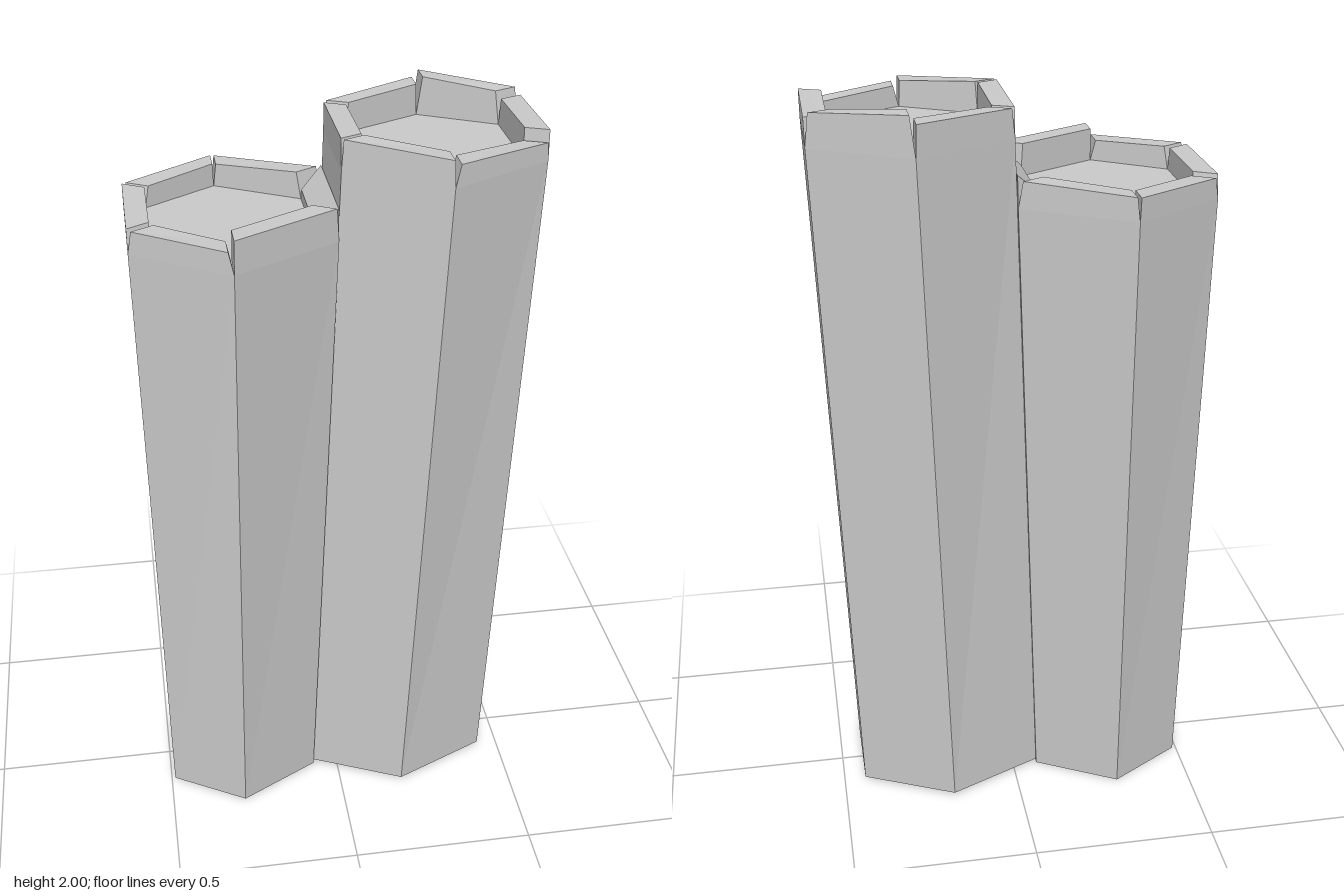
import * as THREE from 'three';

// Corners run counter-clockwise seen from above: front, front right, back right, back, back left, front left
const ring = (xs, zs, y) => [
  [xs[1], zs[1]], [xs[2], zs[0]], [xs[2], -zs[0]],
  [xs[3] ?? xs[1], -zs[1]], [xs[0], -zs[0]], [xs[0], zs[0]],
].map(([x, z]) => new THREE.Vector3(x, y, z));

// Mesh from flat convex faces, each fanned into triangles
function facetMesh(name, faces) {
  const pos = [];
  for (const f of faces) {
    for (let i = 1; i < f.length - 1; i++) {
      for (const p of [f[0], f[i], f[i + 1]]) pos.push(p.x, p.y, p.z);
    }
  }
  const geo = new THREE.BufferGeometry();
  geo.setAttribute('position', new THREE.Float32BufferAttribute(pos, 3));
  geo.computeVertexNormals();
  const mesh = new THREE.Mesh(geo, new THREE.MeshStandardMaterial({
    color: 0xcccccc, flatShading: true, side: THREE.DoubleSide,
  }));
  mesh.name = name;
  return mesh;
}

// Point a short way along an edge, lifted to a height
function along(a, b, d, y) {
  const p = b.clone().sub(a).setLength(d).add(a);
  p.y = y;
  return p;
}

// Hexagonal column, open below, with a sunken top and a rim notched at the corners.
// rim: per side [height at start, height at end, notch at start, notch at end, inner drop]
function column(name, { base, outer, inner, rim }) {
  const walls = [], rimFaces = [];
  for (let i = 0; i < 6; i++) {
    const j = (i + 1) % 6;
    const [h0, h1, n0, n1, drop = 0] = rim[i];
    const o0 = along(outer[i], outer[j], n0, h0);
    const o1 = along(outer[j], outer[i], n1, h1);
    const i0 = along(inner[i], inner[j], n0, h0 - drop);
    const i1 = along(inner[j], inner[i], n1, h1 - drop);
    walls.push([base[i], base[j], outer[j], outer[i]]);
    rimFaces.push(
      [outer[i], outer[j], o1, o0],   // outside
      [o0, o1, i1, i0],               // top
      [inner[j], inner[i], i0, i1],   // inside
      [outer[i], o0, i0, inner[i]],   // start of the side
      [outer[j], inner[j], i1, o1],   // end of the side
    );
  }
  const group = new THREE.Group();
  group.name = name;
  group.add(
    facetMesh('columnWalls', walls),
    facetMesh('notchedRim', rimFaces),
    facetMesh('sunkenTop', [inner]),
  );
  return group;
}

export function createModel() {
  const model = new THREE.Group();
  model.name = 'stoneColumns';
  model.add(
    column('shortColumn', {
      base: ring([-0.49, -0.29, -0.07], [0.115, 0.233], 0),
      outer: ring([-0.507, -0.27, -0.003], [0.155, 0.308], 1.73),
      inner: ring([-0.452, -0.27, -0.058], [0.123, 0.245], 1.73),
      rim: [
        [1.815, 1.815, 0.002, 0.006],
        [1.81, 1.81, 0.006, 0.012, 0.05],
        [1.8, 1.79, 0.012, 0.008],
        [1.79, 1.785, 0.002, 0.012],
        [1.79, 1.79, 0.012, 0.012],
        [1.79, 1.785, 0.012, 0.014],
      ],
    }),
    column('tallColumn', {
      base: ring([-0.07, 0.18, 0.44, 0.19], [0.11, 0.225], 0.01),
      outer: ring([0.003, 0.245, 0.503, 0.257], [0.144, 0.285], 1.9),
      inner: ring([0.055, 0.245, 0.447, 0.257], [0.12, 0.225], 1.9),
      rim: [
        [1.955, 1.945, 0.016, 0.004],
        [1.975, 1.97, 0.004, 0.012],
        [1.985, 2.0, 0.012, 0.014],
        [1.98, 1.975, 0.003, 0.01],
        [1.975, 1.98, 0.01, 0.008],
        [1.98, 1.967, 0.006, 0.003],
      ],
    }),
  );
  return model;
}
